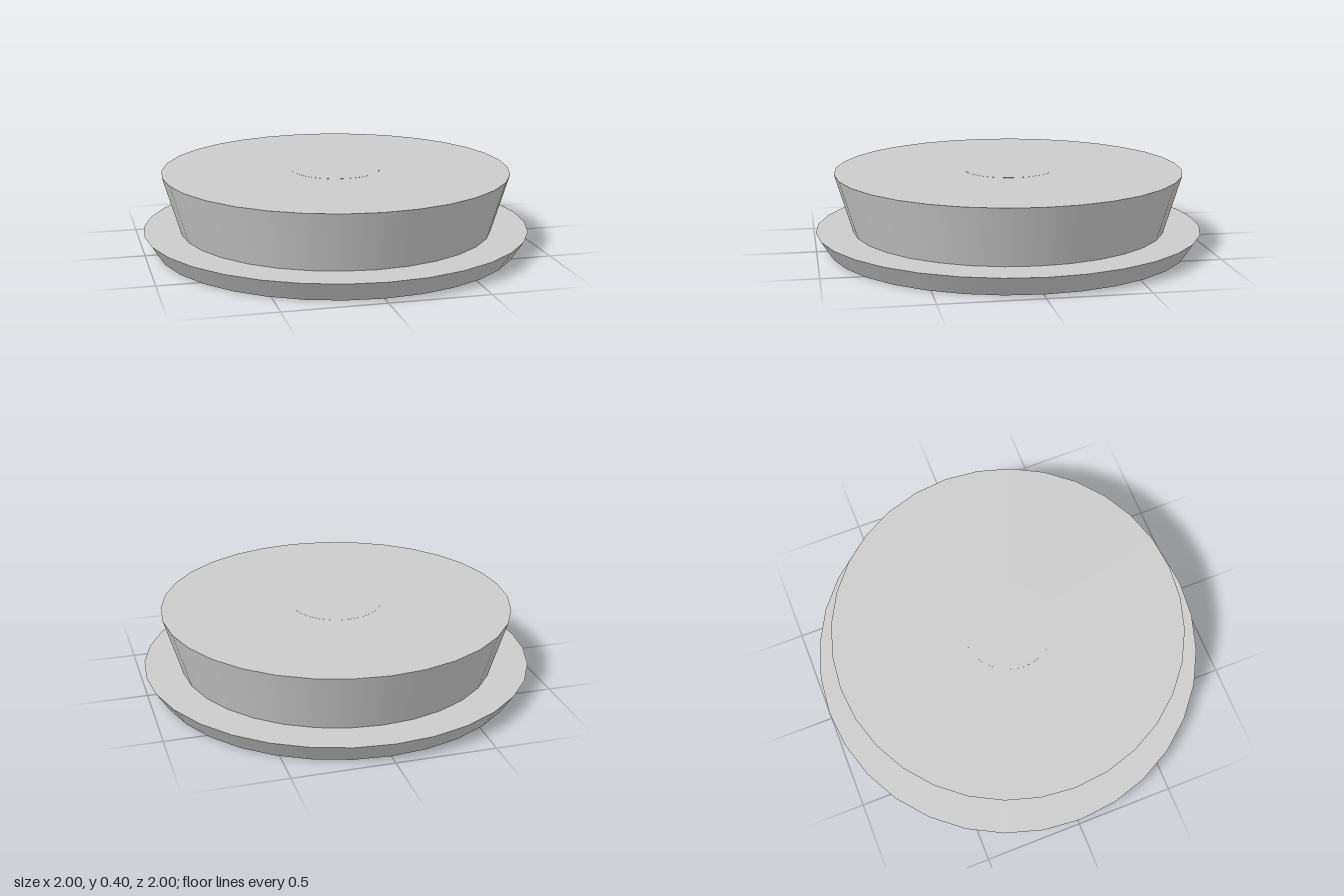
import * as THREE from 'three';

const SIDES = 32;

export function createModel() {
  const group = new THREE.Group();
  const material = new THREE.MeshStandardMaterial({ color: 0xcccccc });

  // Round part tapering from its bottom radius to its top radius
  const addRound = (name, topRadius, bottomRadius, bottom, top) => {
    const geometry = new THREE.CylinderGeometry(topRadius, bottomRadius, top - bottom, SIDES);
    const mesh = new THREE.Mesh(geometry, material);
    mesh.name = name;
    mesh.position.y = (bottom + top) / 2;
    group.add(mesh);
  };

  // Shallow flared saucer
  addRound('saucer', 1, 0.935, 0, 0.1);
  // Flared bowl standing on the saucer
  addRound('bowl', 0.9, 0.81, 0.1, 0.4);
  // Small disc lying flush in the middle of the top
  addRound('centreDisc', 0.23, 0.23, 0.38, 0.4005);

  return group;
}
